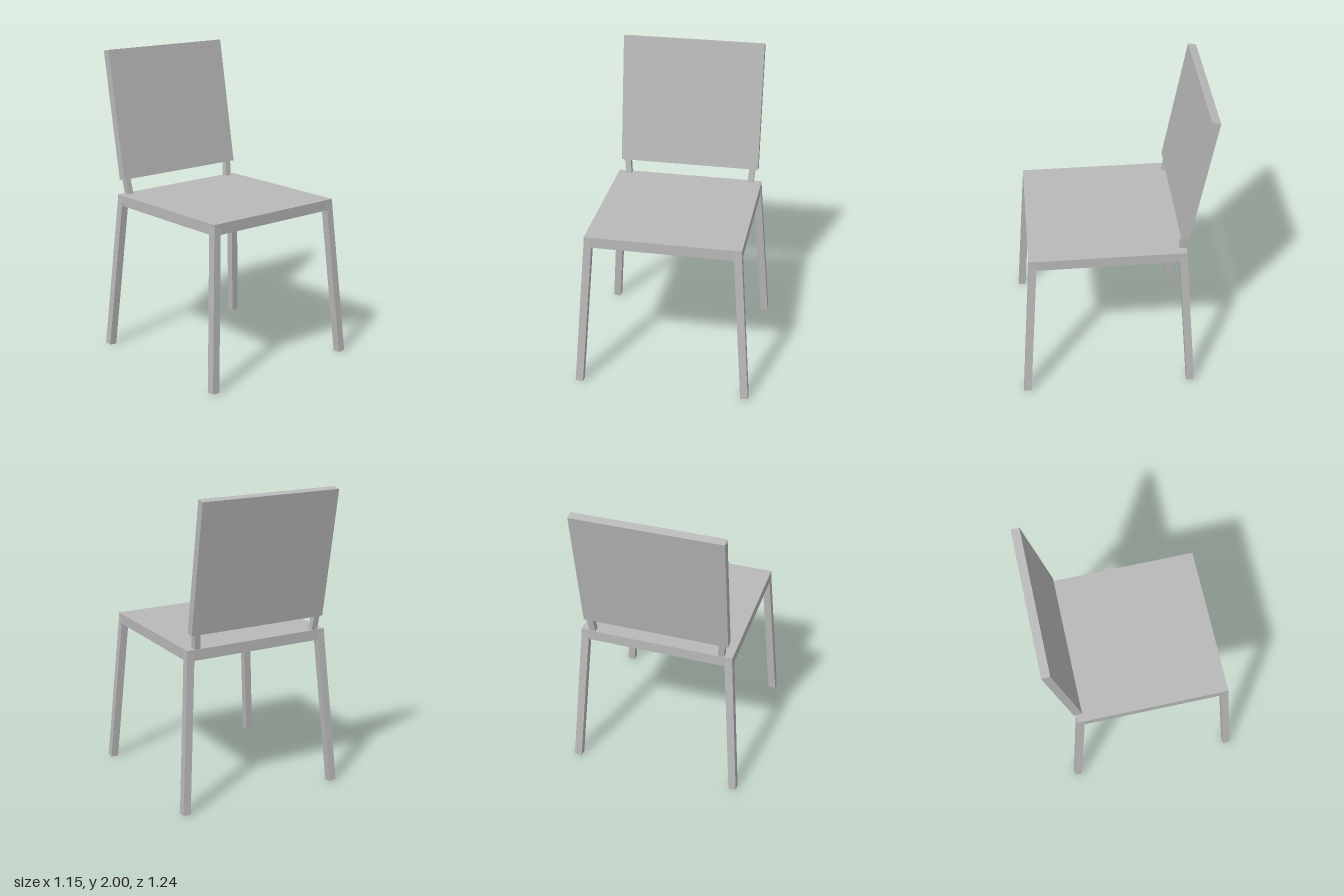
import * as THREE from 'three';

const grey = new THREE.MeshStandardMaterial({ color: 0xb8b8b8 });
grey.name = 'grey';

function box(name, w, h, d, x, y, z) {
  const mesh = new THREE.Mesh(new THREE.BoxGeometry(w, h, d), grey);
  mesh.name = name;
  mesh.position.set(x, y, z);
  return mesh;
}

// Square bar running between two points
function bar(name, size, from, to) {
  const a = new THREE.Vector3(...from), b = new THREE.Vector3(...to);
  const dir = b.clone().sub(a);
  const mid = a.clone().add(b).multiplyScalar(0.5);
  const mesh = box(name, size, dir.length(), size, mid.x, mid.y, mid.z);
  mesh.quaternion.setFromUnitVectors(new THREE.Vector3(0, 1, 0), dir.normalize());
  return mesh;
}

export function createModel() {
  const chair = new THREE.Group();
  chair.name = 'chair';

  // Seat slab
  chair.add(box('seat', 1, 0.07, 1, 0, 1.02, 0.045));

  // Backrest panel leaning backwards
  const back = box('backrest', 0.95, 0.856, 0.054, 0, 1.574, -0.5145);
  back.rotation.x = THREE.MathUtils.degToRad(-10);
  chair.add(back);

  for (const [s, side] of [[1, 'left'], [-1, 'right']]) {
    // Legs splay outwards from the seat corners
    chair.add(bar(side + 'FrontLeg', 0.05, [s * 0.55, 0.004, 0.595], [s * 0.475, 1.03, 0.52]));
    chair.add(bar(side + 'BackLeg', 0.05, [s * 0.55, 0.004, -0.505], [s * 0.475, 1.03, -0.43]));
    // Posts rise from the seat into the backrest
    chair.add(bar(side + 'BackPost', 0.04, [s * 0.424, 1.03, -0.427], [s * 0.443, 1.25, -0.464]));
  }
  return chair;
}
